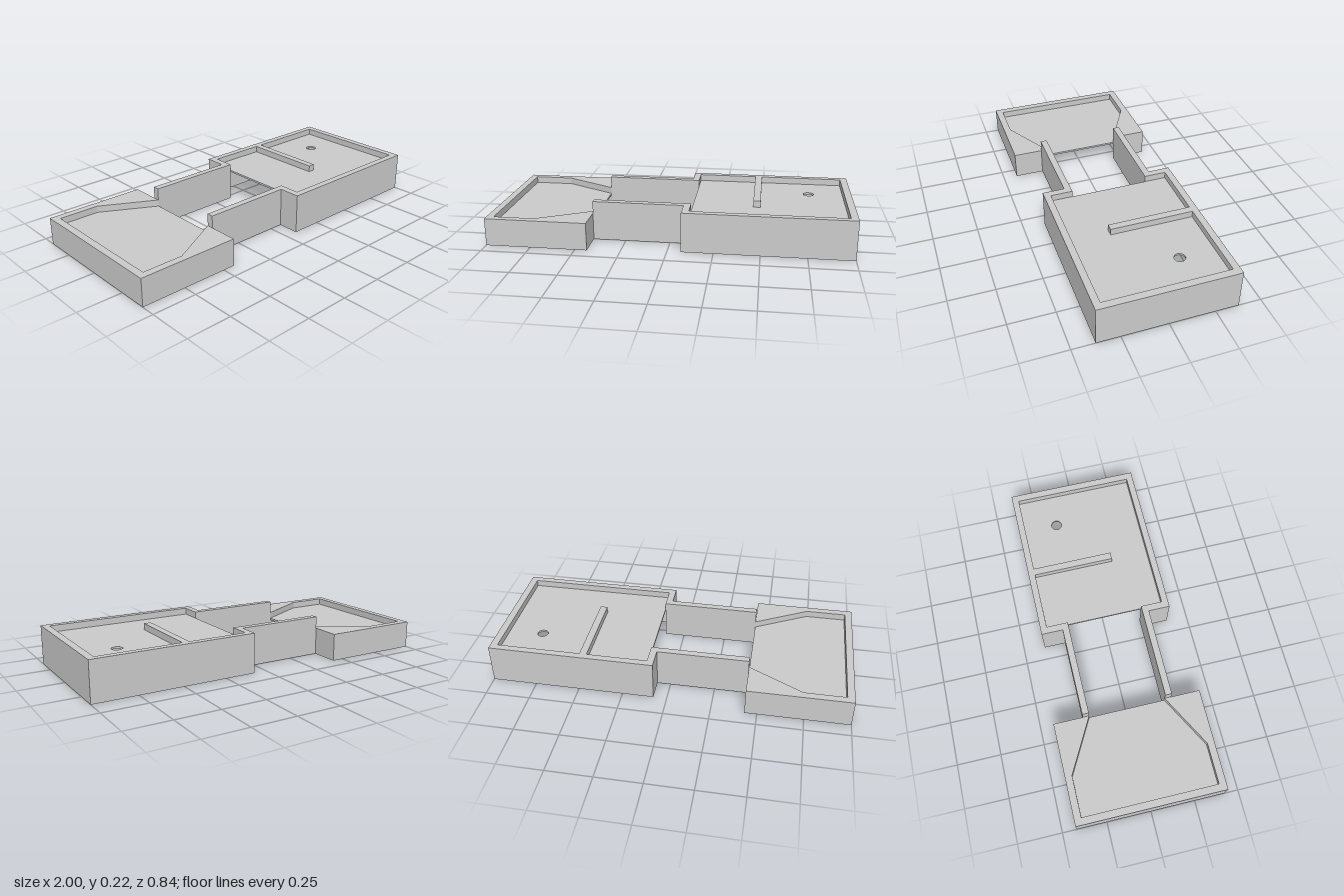
import * as THREE from 'three';

const material = new THREE.MeshStandardMaterial({ color: 0xcccccc, flatShading: true });

// Vertical prism over a plan outline of [x, z] points, from y0 up to y1
function prism(name, outline, y0, y1, hole) {
  const shape = new THREE.Shape(outline.map(([x, z]) => new THREE.Vector2(x, -z)));
  if (hole) {
    const path = new THREE.Path();
    path.absarc(hole.x, -hole.z, hole.r, 0, Math.PI * 2, true);
    shape.holes.push(path);
  }
  const geometry = new THREE.ExtrudeGeometry(shape, { depth: y1 - y0, bevelEnabled: false, curveSegments: 16 });
  geometry.rotateX(-Math.PI / 2).translate(0, y0, 0);
  const mesh = new THREE.Mesh(geometry, material);
  mesh.name = name;
  return mesh;
}

// Outline symmetric about z = 0, given its +z half in order
const mirrored = (half) => [...half, ...half.map(([x, z]) => [x, -z]).reverse()];

export function createModel() {
  const model = new THREE.Group();
  model.name = 'linkedTrays';

  const largeTop = 0.223, smallTop = 0.155, floorThickness = 0.011;
  const largeFloor = 0.186, smallFloor = 0.117;
  const neck = 0.217, neckOuter = 0.254, smallEnd = -0.433;

  // Large tray rim, running on into the two connecting arms
  model.add(prism('largeTrayWallAndArms', mirrored([
    [smallEnd, neck], [smallEnd, neckOuter], [0.075, neckOuter], [0.075, 0.377], [1, 0.377],
  ]).concat([
    [smallEnd, -neck], [0.113, -neck], [0.113, -0.34], [0.96, -0.34],
    [0.96, 0.34], [0.113, 0.34], [0.113, neck],
  ]), 0, largeTop));

  // Large tray floor with a round drain hole
  model.add(prism('largeTrayFloor', mirrored([[0.113, 0.34], [0.96, 0.34]]),
    largeFloor - floorThickness, largeFloor, { x: 0.765, z: -0.147, r: 0.03 }));

  // Divider standing from the ground up to the rim
  model.add(prism('divider', [[0.45, -0.34], [0.45, 0.124], [0.49, 0.124], [0.49, -0.34]], 0, largeTop));

  // Small tray rim, thickening into a funnel at the neck
  const funnel = [[smallEnd, neck], [-0.733, 0.38], [-0.96, 0.38]];
  model.add(prism('smallTrayWall', [
    ...mirrored(funnel),
    [smallEnd, -0.42], [-1, -0.42], [-1, 0.42], [smallEnd, 0.42],
  ], 0, smallTop));

  // Small tray floor
  model.add(prism('smallTrayFloor', mirrored(funnel), smallFloor - floorThickness, smallFloor));

  return model;
}
